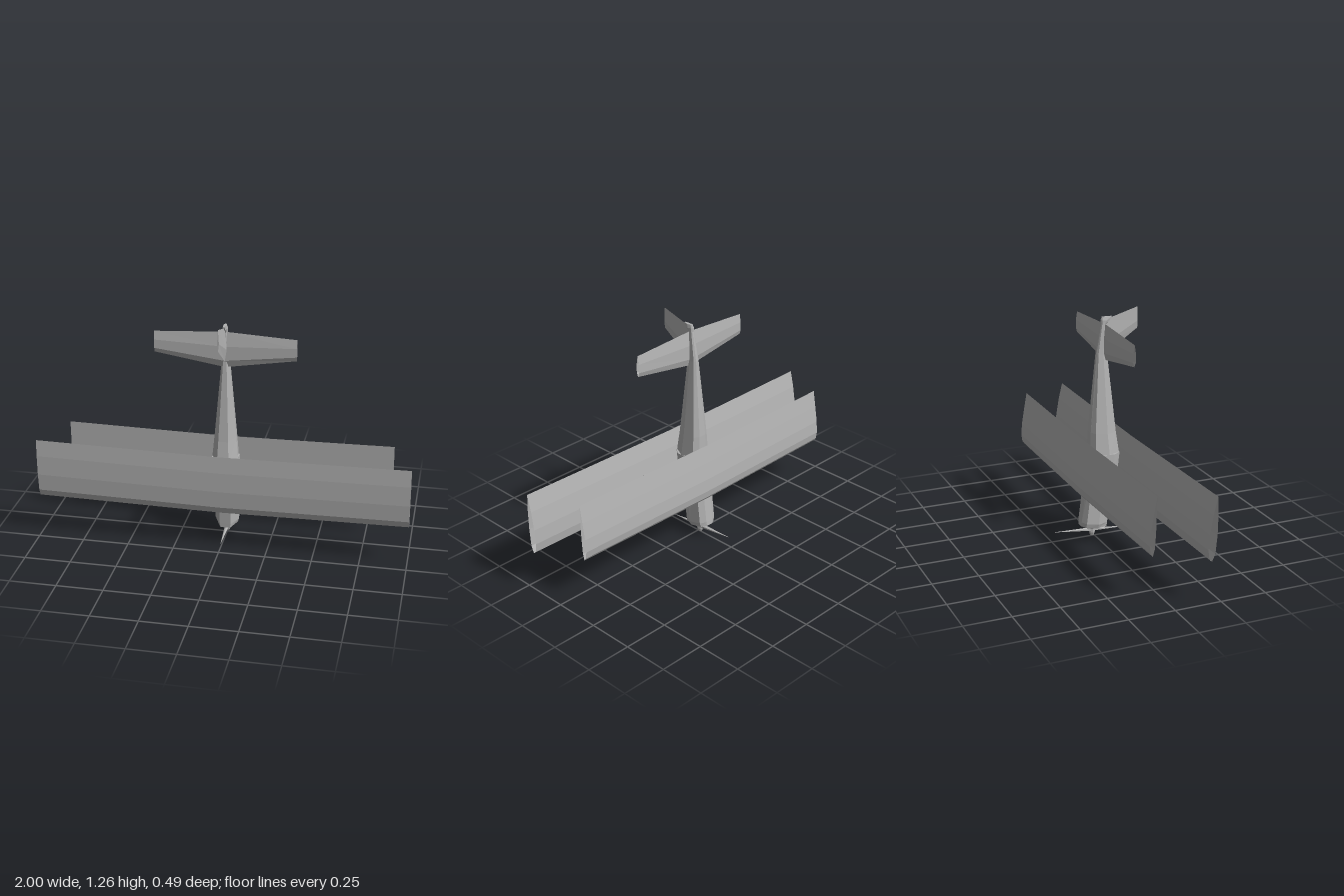
import * as THREE from 'three';

const grey = new THREE.MeshStandardMaterial({ color: 0xb2b2b2 });
grey.name = 'airframe grey';
grey.flatShading = true;
grey.side = THREE.DoubleSide;

// Skin joining closed loops of [x, y, z] points, with optional end caps
function loft(loops, capStart, capEnd) {
  const n = loops[0].length;
  const pos = [];
  const tri = (a, b, c) => pos.push(...a, ...b, ...c);
  for (let i = 0; i < loops.length - 1; i++) {
    for (let j = 0; j < n; j++) {
      const k = (j + 1) % n;
      tri(loops[i][j], loops[i][k], loops[i + 1][k]);
      tri(loops[i][j], loops[i + 1][k], loops[i + 1][j]);
    }
  }
  for (let j = 1; j < n - 1; j++) {
    const first = loops[0], last = loops[loops.length - 1];
    if (capStart) tri(first[0], first[j + 1], first[j]);
    if (capEnd) tri(last[0], last[j], last[j + 1]);
  }
  const g = new THREE.BufferGeometry();
  g.setAttribute('position', new THREE.Float32BufferAttribute(pos, 3));
  g.computeVertexNormals();
  return g;
}

// Body cross-section: half outline as [share of half width, share of depth]
const HULL = [[0.45, 1], [1, 0.57], [0.85, 0.12], [0.35, 0]];
const CABIN = [[0.45, 1], [0.95, 0.62], [1, 0]];
function section(half, y, w, z0, z1, slant = 0.1) {
  const right = half.map(([u, v]) => {
    const z = z0 + (z1 - z0) * v;
    return [u * w, y - slant * (z - (z0 + z1) / 2), z];
  });
  return right.concat(right.map(([x, py, z]) => [-x, py, z]).reverse());
}

// Open-ended wing; profile is [z, y] at the tip, trailing edge first
function wing(span, profile, sweep) {
  return loft([-span, 0, span].map((x) =>
    profile.map(([z, y]) => [x, x === 0 ? y - sweep : y, z])));
}

export function createModel() {
  const model = new THREE.Group();
  model.name = 'biplane';
  const add = (name, geometry) => {
    const mesh = new THREE.Mesh(geometry, grey);
    mesh.name = name;
    model.add(mesh);
    return mesh;
  };

  // Body: nose, tapering rear and cabin
  add('nose', loft([
    section(HULL, 0.05, 0.022, -0.035, 0.01),
    section(HULL, 0.066, 0.058, -0.086, 0.062, 0.13),
    section(HULL, 0.09, 0.066, -0.084, 0.064, 0.13),
    section(HULL, 0.48, 0.066, -0.034, 0.092),
  ], true, true));
  add('rearFuselage', loft([
    section(HULL, 0.478, 0.07, -0.034, 0.133),
    section(HULL, 0.6, 0.059, -0.029, 0.115),
    section(HULL, 1.03, 0.021, 0.01, 0.07),
    section(HULL, 1.19, 0.013, 0.038, 0.066),
    section(HULL, 1.21, 0.013, 0.038, 0.085),
    section(HULL, 1.228, 0.008, 0.043, 0.1, 0),
  ], true, true));
  add('cabin', loft([
    section(CABIN, 0.316, 0.066, 0.015, 0.085),
    section(CABIN, 0.40, 0.071, 0.016, 0.125),
    section(CABIN, 0.483, 0.072, 0.018, 0.135, 0.06),
  ], true, true));

  // Wings and tailplane
  add('upperWing', wing(1, [
    [0.217, 0.563], [0.221, 0.47], [0.219, 0.36], [0.21, 0.265], [0.193, 0.227],
    [0.178, 0.24], [0.172, 0.29], [0.178, 0.37], [0.195, 0.47],
  ], 0.013));
  add('lowerWing', wing(0.89, [
    [-0.053, 0.566], [-0.055, 0.47], [-0.057, 0.37], [-0.063, 0.29], [-0.073, 0.254],
    [-0.084, 0.27], [-0.09, 0.31], [-0.085, 0.38], [-0.07, 0.47],
  ], 0.013));

  const tail = (x, y0, y1, t) => [
    [0.059, y1], [0.06 + t, y0 + (y1 - y0) * 0.6], [0.06 + t, y0 + (y1 - y0) * 0.2],
    [0.058, y0], [0.058 - t, y0 + (y1 - y0) * 0.2], [0.059 - t, y0 + (y1 - y0) * 0.6],
  ].map(([z, y]) => [x, y, z]);
  add('tailplane', loft([
    tail(-0.375, 1.055, 1.17, 0.007), tail(0, 0.995, 1.19, 0.011), tail(0.375, 1.055, 1.17, 0.007),
  ]));

  // Upright fin, thicker at its root
  const fin = (z, yLow, yHigh, t) => {
    const mid = yLow + (yHigh - yLow) * 0.35;
    return [[0, yLow, z], [t, mid, z], [0, yHigh, z], [-t, mid, z]];
  };
  add('fin', loft([fin(0.055, 1.02, 1.21, 0.011), fin(0.247, 1.15, 1.265, 0.005)], true, true));

  // Struts between the wings
  [[0.23, 0.368], [-0.27, 0.34]].forEach(([x, y], i) => {
    const strut = add(i ? 'rightStrut' : 'leftStrut', new THREE.BoxGeometry(0.018, 0.04, 0.265));
    strut.position.set(x, y, 0.078);
    strut.rotation.x = 0.085;
  });

  // Propeller with spinner
  const propeller = new THREE.Group();
  propeller.name = 'propeller';
  propeller.position.set(0, 0.041, -0.022);
  propeller.rotation.x = 0.075;
  for (const side of [1, -1]) {
    const blade = new THREE.Mesh(new THREE.ConeGeometry(0.014, 0.221, 6), grey);
    blade.name = 'blade';
    blade.scale.z = 0.75;
    blade.rotation.x = side * Math.PI / 2;
    blade.position.z = side * 0.11;
    propeller.add(blade);
  }
  model.add(propeller);
  const spinner = add('spinner', new THREE.LatheGeometry(
    [[0, 0], [0.011, 0.005], [0.017, 0.022], [0.018, 0.055]].map(([r, y]) => new THREE.Vector2(r, y)), 8));
  spinner.position.set(0, 0.003, -0.014);

  return model;
}
